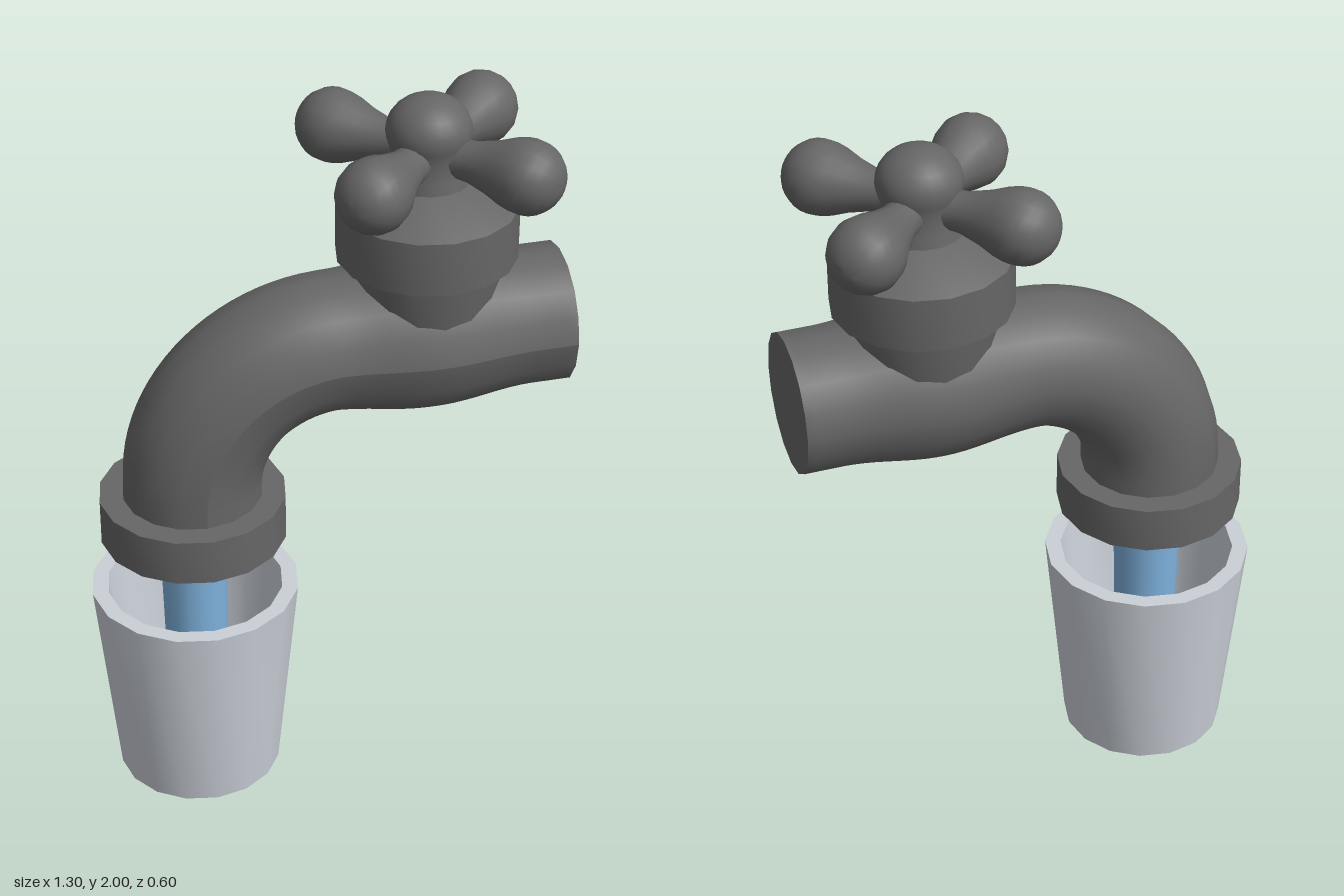
import * as THREE from 'three';
import { toCreasedNormals } from 'three/addons/utils/BufferGeometryUtils.js';

const SIDES = 16;
const SPOUT_X = -0.365, VALVE_X = 0.28, PIPE_Y = 1.315, PIPE_R = 0.19;

// Turned part from [radius, height] pairs, with sharp edges kept
function turned(name, profile, material, sides = SIDES) {
  const points = profile.map(([r, y]) => new THREE.Vector2(r, y));
  const geometry = toCreasedNormals(new THREE.LatheGeometry(points, sides), 0.6);
  const mesh = new THREE.Mesh(geometry, material);
  mesh.name = name;
  return mesh;
}

// Points of a circular arc in a profile
function arc(cx, cy, rx, ry, from, to, steps) {
  return Array.from({ length: steps + 1 }, (_, i) => {
    const a = from + (to - from) * i / steps;
    return [Math.max(0, cx + rx * Math.cos(a)), cy + ry * Math.sin(a)];
  });
}

// Bent pipe, swelling around the valve
function makePipe(material) {
  const bend = 0.385, bendX = SPOUT_X + bend, bendY = PIPE_Y - bend;
  const k = 0.5523 * bend;
  const v = (x, y) => new THREE.Vector3(x, y, 0);
  const path = new THREE.CurvePath();
  path.add(new THREE.LineCurve3(v(SPOUT_X, 0.87), v(SPOUT_X, bendY)));
  path.add(new THREE.CubicBezierCurve3(v(SPOUT_X, bendY), v(SPOUT_X, bendY + k),
    v(bendX - k, PIPE_Y), v(bendX, PIPE_Y)));
  path.add(new THREE.LineCurve3(v(bendX, PIPE_Y), v(0.65, PIPE_Y)));
  const geometry = new THREE.TubeGeometry(path, 48, PIPE_R, SIDES, false);
  const pos = geometry.attributes.position;
  for (let i = 0; i < pos.count; i++) {
    const t = pos.getX(i) / 0.55;
    if (t <= 0 || t >= 1 || pos.getY(i) < 1.1) continue;
    const swell = 1 + 0.14 * Math.sin(Math.PI * t) ** 2;
    pos.setY(i, PIPE_Y + (pos.getY(i) - PIPE_Y) * swell);
    pos.setZ(i, pos.getZ(i) * swell);
  }
  geometry.computeVertexNormals();
  const group = new THREE.Group();
  group.name = 'pipe';
  const tube = new THREE.Mesh(geometry, material);
  tube.name = 'pipeBody';
  const end = new THREE.Mesh(new THREE.CircleGeometry(PIPE_R, SIDES), material);
  end.name = 'pipeEnd';
  end.rotation.y = Math.PI / 2;
  end.position.set(0.65, PIPE_Y, 0);
  group.add(tube, end);
  return group;
}

// Valve body with a four-armed handle
function makeValve(material) {
  const group = new THREE.Group();
  group.name = 'valve';
  group.position.x = VALVE_X;
  group.add(turned('valveNeck', [[0, 1.41], [0.188, 1.41], [0.21, 1.56]], material));
  group.add(turned('valveCap',
    [[0, 1.55], [0.242, 1.55], [0.242, 1.7], [0.11, 1.772], [0, 1.772]], material));
  group.add(turned('handleHub', [
    [0.115, 1.765], [0.108, 1.8], [0.1, 1.85],
    ...arc(0, 1.905, 0.113, 0.095, -0.25, Math.PI / 2, 8),
  ], material, 24));
  const armProfile = [
    [0.07, 0], [0.052, 0.08], [0.055, 0.13], [0.072, 0.19], [0.09, 0.235],
    ...arc(0, 0.285, 0.1, 0.1, -0.2, Math.PI / 2, 8),
  ];
  for (let i = 0; i < 4; i++) {
    const pivot = new THREE.Group();
    pivot.name = 'handleArm' + (i + 1);
    pivot.position.y = 1.845;
    pivot.rotation.y = Math.PI / 4 + i * Math.PI / 2;
    const arm = turned('armKnob', armProfile, material);
    arm.rotation.z = -Math.PI / 2;
    pivot.add(arm);
    group.add(pivot);
  }
  return group;
}

export function createModel() {
  const metal = new THREE.MeshStandardMaterial({ color: 0x666666 });
  metal.name = 'dark metal';
  const glass = new THREE.MeshStandardMaterial({ color: 0xcbd0d8 });
  glass.name = 'pale glass';
  const water = new THREE.MeshStandardMaterial({ color: 0x7fb2dd });
  water.name = 'blue water';

  const model = new THREE.Group();
  model.name = 'tapAndCup';
  model.add(makePipe(metal), makeValve(metal));

  // Spout collar with a recessed mouth
  const collar = turned('spoutCollar', [
    [0, 0.86], [0.15, 0.86], [0.15, 0.77], [0.255, 0.77], [0.255, 0.9], [0.15, 0.9],
  ], metal);
  // Falling water
  const stream = turned('waterStream',
    [[0, 0.04], [0.08, 0.04], [0.092, 0.6], [0.098, 0.77], [0.1, 0.86]], water);
  // Open tapered cup
  const cup = turned('cup', [
    [0, 0], [0.227, 0], [0.287, 0.6], [0.243, 0.6], [0.192, 0.04], [0, 0.04],
  ], glass);
  for (const part of [collar, stream, cup]) {
    part.position.x = SPOUT_X;
    model.add(part);
  }
  return model;
}
